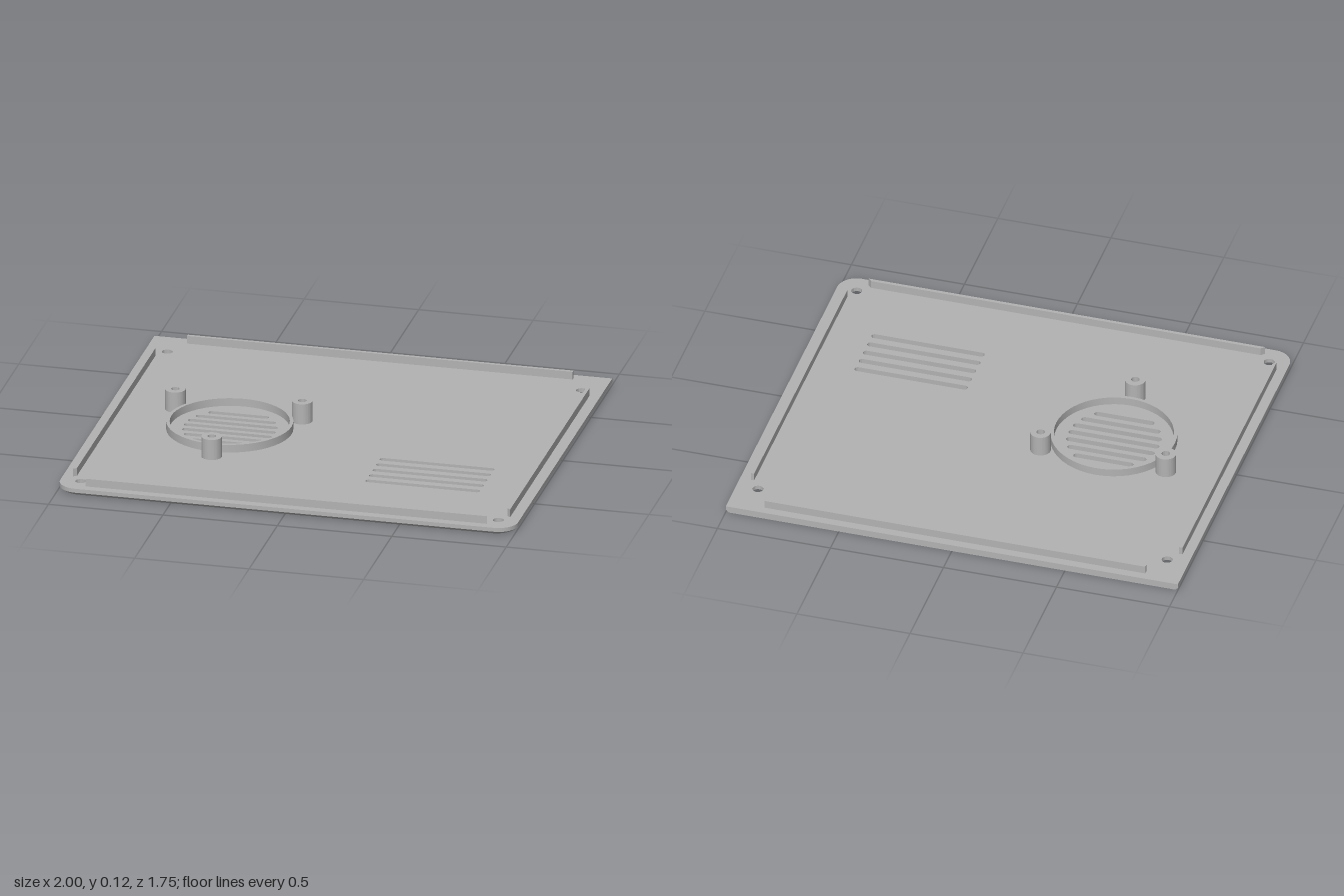
import * as THREE from 'three';
import { toCreasedNormals } from 'three/addons/utils/BufferGeometryUtils.js';

const PLATE_TOP = 0.03, RIM_TOP = 0.065, BOSS_TOP = 0.122, CHAMFER = 0.012;

// Plans are drawn in (x, -z) and extruded upwards
function extrudeUp(shape, y0, y1, steps = 1) {
  const g = new THREE.ExtrudeGeometry(shape, { depth: y1 - y0, steps, bevelEnabled: false, curveSegments: 24 });
  g.rotateX(-Math.PI / 2);
  g.translate(0, y0, 0);
  return g;
}

function circle(x, z, r, Type = THREE.Path) {
  return new Type().absarc(x, -z, r, 0, Math.PI * 2, false);
}

// Slot with rounded ends, running along x
function slot(x, z, halfLength, r) {
  const p = new THREE.Path();
  p.absarc(x + halfLength - r, -z, r, -Math.PI / 2, Math.PI / 2, false);
  p.absarc(x - halfLength + r, -z, r, Math.PI / 2, Math.PI * 1.5, false);
  p.closePath();
  return p;
}

function polygon(points) {
  return new THREE.Shape(points.map(([x, z]) => new THREE.Vector2(x, -z)));
}

export function createModel() {
  const group = new THREE.Group();
  const grey = new THREE.MeshStandardMaterial({ color: 0xb3b3b3 });
  grey.name = 'grey plastic';
  const add = (name, geometry) => {
    const mesh = new THREE.Mesh(toCreasedNormals(geometry, 0.5), grey);
    mesh.name = name;
    group.add(mesh);
  };

  // Plate outline: square back corners, rounded front corners
  const W = 1, D = 0.875, R = 0.085;
  const plate = new THREE.Shape();
  plate.moveTo(W, D);
  plate.lineTo(-W, D);
  plate.lineTo(-W, -D + R);
  plate.absarc(-W + R, -D + R, R, Math.PI, Math.PI * 1.5, false);
  plate.absarc(W - R, -D + R, R, Math.PI * 1.5, Math.PI * 2, false);
  plate.closePath();

  // Screw holes
  const screws = [[-0.905, -0.715], [0.905, -0.715], [-0.912, 0.785], [0.912, 0.785]];
  const screwR = 0.023, sinkR = 0.042;
  for (const [x, z] of screws) plate.holes.push(circle(x, z, screwR));

  // Fan grille and side vent slots
  const fanX = -0.44, fanZ = 0.06;
  [0.132, 0.174, 0.195, 0.2, 0.195, 0.174, 0.132].forEach((half, i) =>
    plate.holes.push(slot(fanX, fanZ + (i - 3) * 0.0525, half, 0.0145)));
  for (let i = 0; i < 5; i++) plate.holes.push(slot(0.51, 0.24 + i * 0.0625, 0.25, 0.0145));

  // Chamfer the underside edge and countersink the screw holes
  const g = extrudeUp(plate, 0, PLATE_TOP, 2);
  const pos = g.attributes.position;
  for (let i = 0; i < pos.count; i++) {
    let x = pos.getX(i), y = pos.getY(i), z = pos.getZ(i);
    if (y > 0.005 && y < PLATE_TOP - 0.005) {
      pos.setY(i, CHAMFER);
    } else if (y < 0.005) {
      const s = screws.find(([sx, sz]) => Math.hypot(x - sx, z - sz) < screwR * 1.1);
      if (s) {
        x = s[0] + (x - s[0]) * sinkR / screwR;
        z = s[1] + (z - s[1]) * sinkR / screwR;
      } else if (Math.abs(x) > 0.96 || Math.abs(z) > 0.84) {
        x *= 1 - CHAMFER;
        z -= CHAMFER * (z + D) / (2 * D);
      }
      pos.setXYZ(i, x, 0, z);
    }
  }
  add('plate', g);

  // Locating rails, with mitred ends towards the front corners
  const t = 0.015, y0 = PLATE_TOP - 0.002;
  const rail = (name, points) => add(name, extrudeUp(polygon(points), y0, RIM_TOP));
  rail('backRail', [[-0.845, -0.823], [0.84, -0.823], [0.84, -0.838], [-0.845, -0.838]]);
  rail('frontRail', [[-0.878, 0.838], [0.875, 0.838], [0.86, 0.838 - t], [-0.863, 0.838 - t]]);
  rail('leftRail', [[0.938, 0.73], [0.953, 0.742], [0.953, -0.66], [0.938, -0.66]]);
  rail('rightRail', [[-0.957, 0.742], [-0.942, 0.73], [-0.942, -0.66], [-0.957, -0.66]]);

  // Fan ring
  const ring = circle(fanX, fanZ, 0.27, THREE.Shape);
  ring.holes.push(circle(fanX, fanZ, 0.255));
  add('fanRing', extrudeUp(ring, y0, RIM_TOP));

  // Three screw bosses around the ring
  for (let i = 0; i < 3; i++) {
    const a = Math.PI / 2 + i * Math.PI * 2 / 3;
    const x = fanX + 0.32 * Math.cos(a), z = fanZ + 0.32 * Math.sin(a);
    const boss = circle(x, z, 0.044, THREE.Shape);
    boss.holes.push(circle(x, z, 0.018));
    add('fanBoss' + (i + 1), extrudeUp(boss, y0, BOSS_TOP));
  }

  return group;
}
